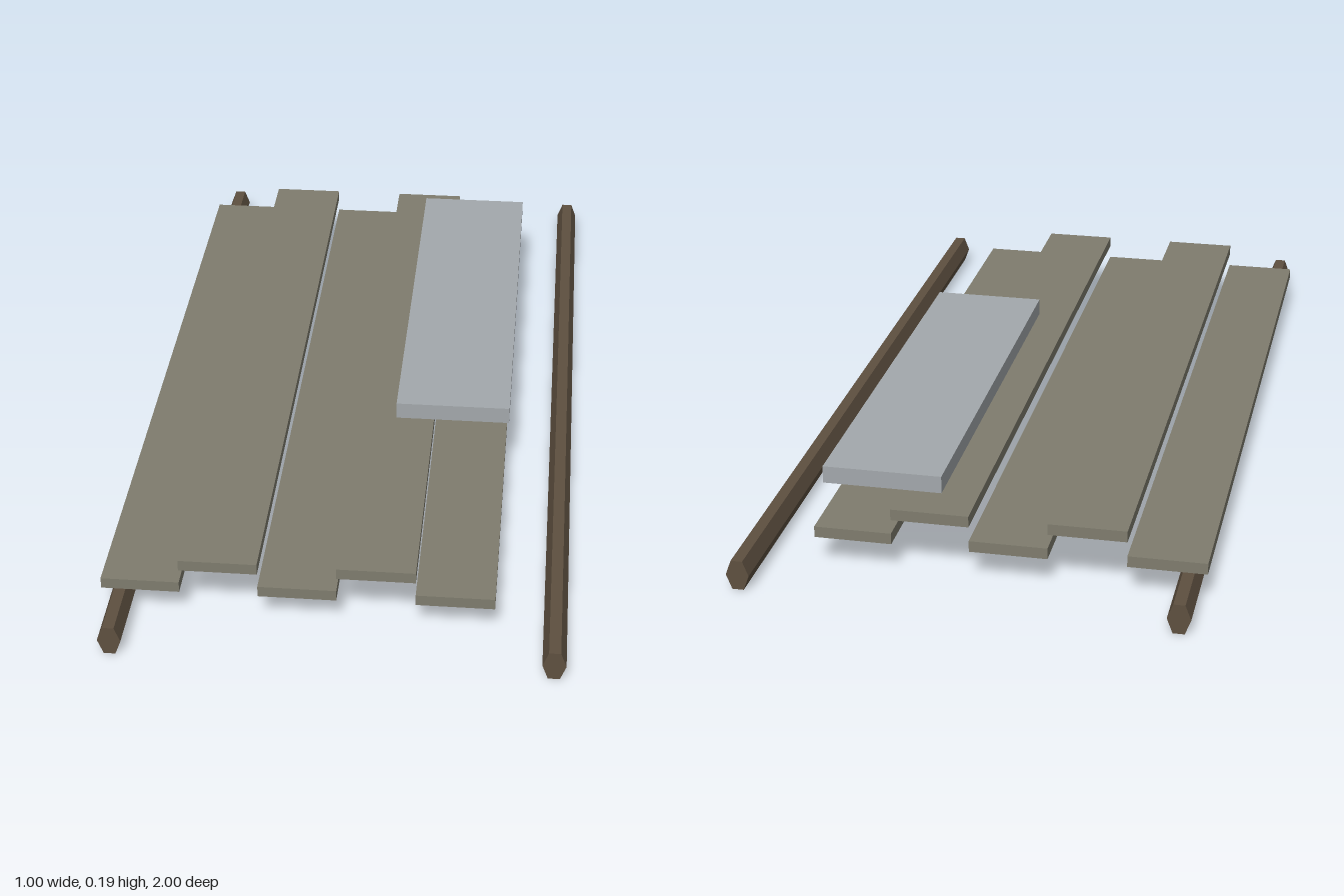
import * as THREE from 'three';

const material = (color) => new THREE.MeshStandardMaterial({ color, flatShading: true });

export function createModel() {
  const model = new THREE.Group();
  model.name = 'plankPlatform';
  const wood = material(0x7f7c6e);
  const darkWood = material(0x5e5040);
  const metal = material(0xa3a8ac);

  const add = (name, geometry, mat, x, y, z) => {
    const mesh = new THREE.Mesh(geometry, mat);
    mesh.name = name;
    mesh.position.set(x, y, z);
    model.add(mesh);
  };

  // Two long six-sided rails, taller than wide, with flat tops and corners to the sides
  const rail = new THREE.CylinderGeometry(1, 1, 2, 6);
  rail.rotateY(Math.PI / 6).rotateX(Math.PI / 2).scale(0.025, 0.0385, 1);
  add('rightRail', rail, darkWood, -0.46, 0.0335, 0);
  add('leftRail', rail, darkWood, 0.474, 0.0335, 0);

  // Five planks, alternately on the lower and the upper level
  const plankWidth = 0.169;
  const plank = new THREE.BoxGeometry(plankWidth, 0.025, 1.73);
  for (let i = 0; i < 5; i++) {
    const y = i % 2 ? 0.1375 : 0.08;
    add(`plank${i + 1}`, plank, wood, -0.5 + plankWidth * (i + 0.5), y, 0);
  }

  // Slab lying on top
  add('slab', new THREE.BoxGeometry(0.263, 0.039, 1.04), metal, 0.2195, 0.1695, -0.25);

  return model;
}
